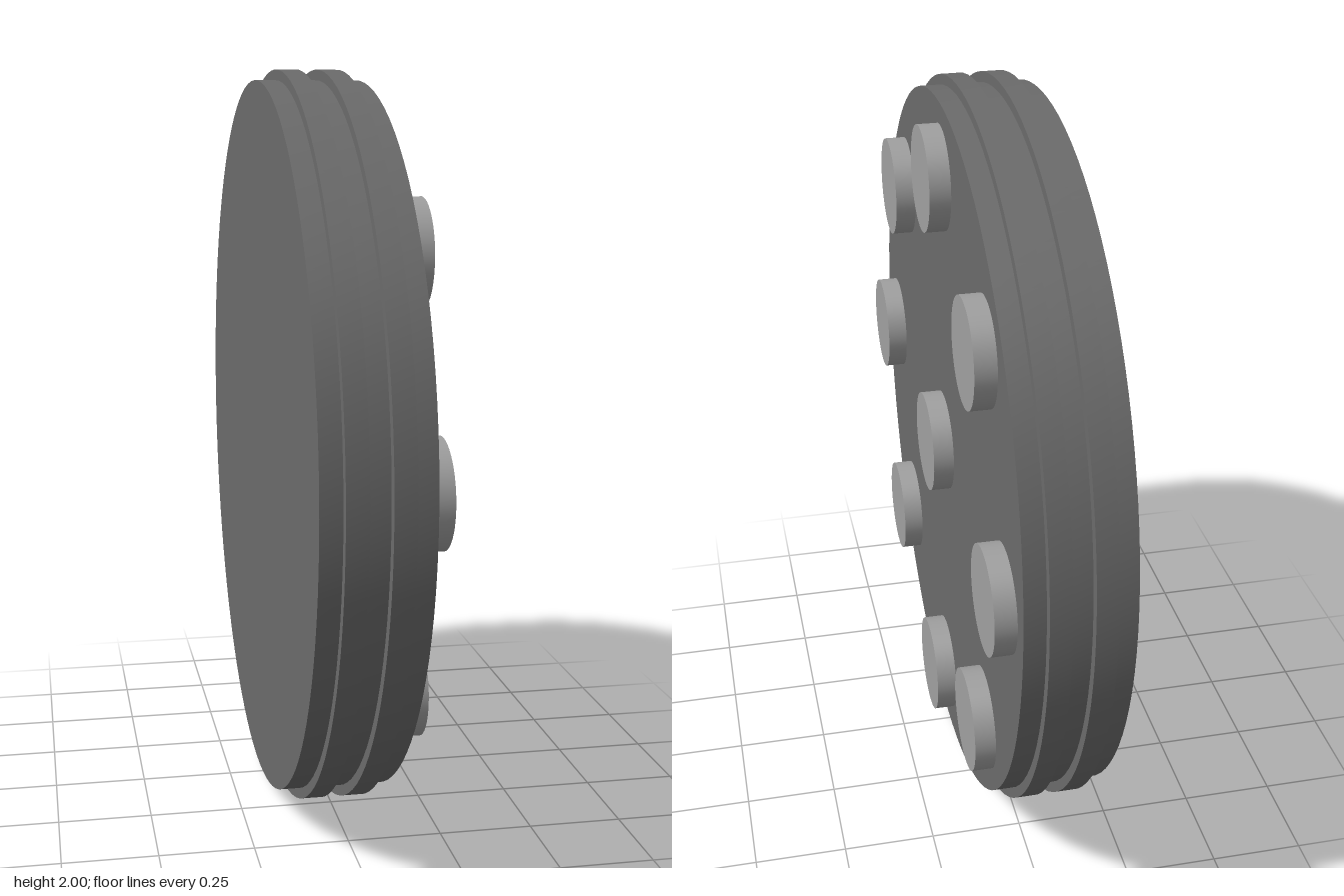
import * as THREE from 'three';
import { toCreasedNormals } from 'three/addons/utils/BufferGeometryUtils.js';

export function createModel() {
  const model = new THREE.Group();
  const darkGrey = new THREE.MeshStandardMaterial({ name: 'darkGrey', color: 0x6b6b6b });
  const lightGrey = new THREE.MeshStandardMaterial({ name: 'lightGrey', color: 0xa0a0a0 });

  const R = 1, r = 0.972; // ridge and groove radii
  const back = -0.165, step = 0.055, face = back + 5 * step;

  // Disc with two raised ridges: five equal bands of alternating radius
  const profile = [new THREE.Vector2(0, back)];
  for (let i = 0; i < 5; i++) {
    const radius = i % 2 ? R : r;
    profile.push(new THREE.Vector2(radius, back + i * step), new THREE.Vector2(radius, back + (i + 1) * step));
  }
  profile.push(new THREE.Vector2(0, face));
  const discGeometry = toCreasedNormals(new THREE.LatheGeometry(profile, 96), Math.PI / 6);
  discGeometry.rotateZ(-Math.PI / 2);
  const disc = new THREE.Mesh(discGeometry, darkGrey);
  disc.name = 'ridgedDisc';
  disc.position.y = 1;
  model.add(disc);

  // Round studs: one in the centre, eight in a ring
  const studGeometry = new THREE.CylinderGeometry(0.138, 0.138, step, 48);
  studGeometry.rotateZ(-Math.PI / 2);
  const addStud = (name, y, z) => {
    const stud = new THREE.Mesh(studGeometry, lightGrey);
    stud.name = name;
    stud.position.set(face + step / 2, y, z);
    model.add(stud);
  };
  addStud('centreStud', 1, 0);
  for (let i = 0; i < 8; i++) {
    const a = (i * Math.PI) / 4;
    addStud(`ringStud${i + 1}`, 1 + 0.777 * Math.cos(a), 0.777 * Math.sin(a));
  }
  return model;
}
